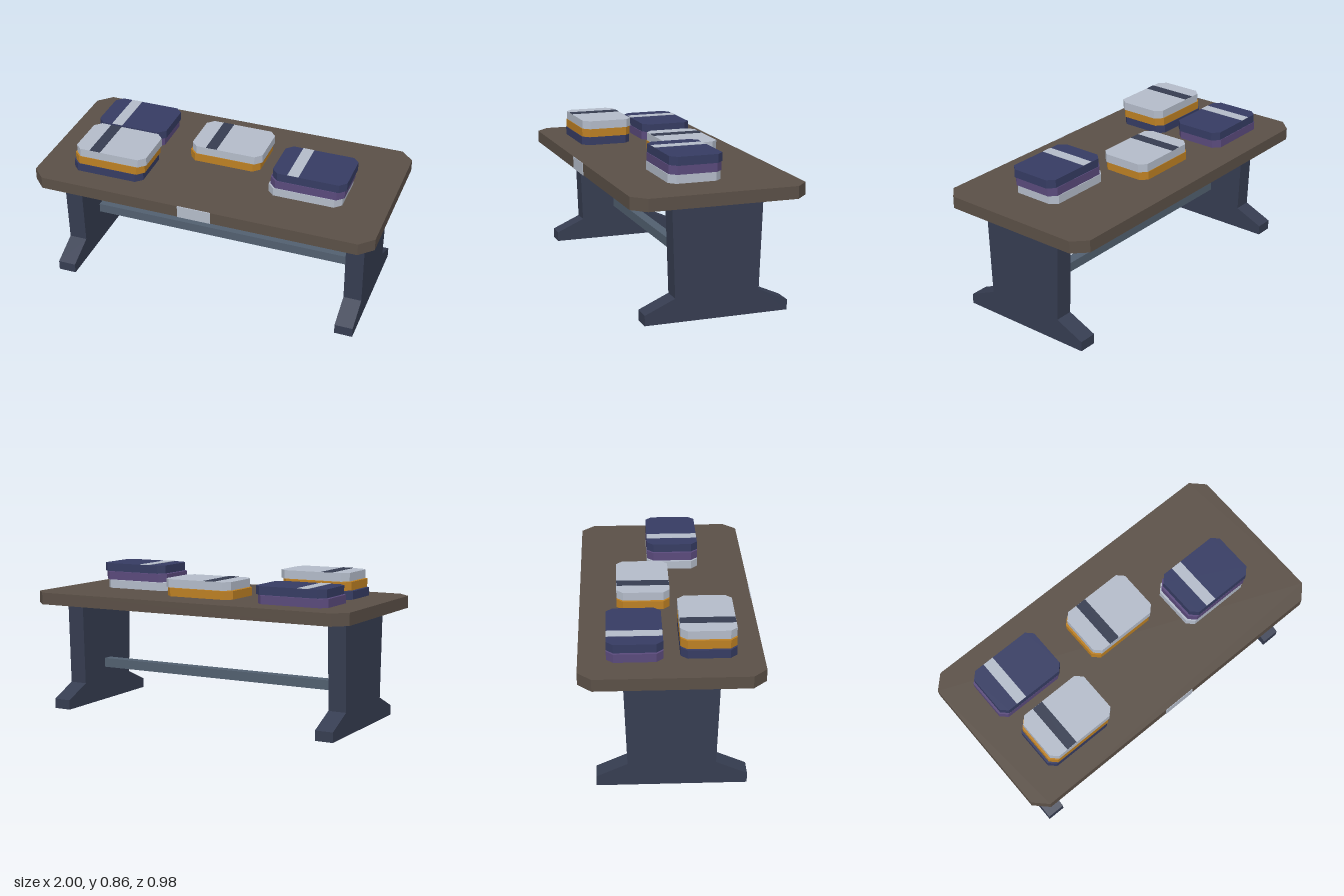
import * as THREE from 'three';

const mat = (name, color) => Object.assign(new THREE.MeshStandardMaterial({ color }), { name });

// Rectangle with cut corners, lying flat with its base at y = 0
function cutCornerSlab(width, depth, height, cut) {
  const x = width / 2, z = depth / 2;
  const shape = new THREE.Shape([
    [-x + cut, -z], [x - cut, -z], [x, -z + cut], [x, z - cut],
    [x - cut, z], [-x + cut, z], [-x, z - cut], [-x, -z + cut],
  ].map(([a, b]) => new THREE.Vector2(a, b)));
  return new THREE.ExtrudeGeometry(shape, { depth: height, bevelEnabled: false }).rotateX(-Math.PI / 2);
}

export function createModel() {
  const wood = mat('brown wood', 0x5b5047);
  const slate = mat('dark slate', 0x363d51);
  const steel = mat('steel blue', 0x526070);
  const pale = mat('pale grey', 0xb4bcca);
  const navy = mat('navy cloth', 0x363c63);
  const purple = mat('purple cloth', 0x5a4a7c);
  const amber = mat('amber cloth', 0xbd8023);

  const model = new THREE.Group();
  model.name = 'displayTable';
  const add = (name, geometry, material, x, y, z, parent = model) => {
    const mesh = new THREE.Mesh(geometry, material);
    mesh.name = name;
    mesh.position.set(x, y, z);
    parent.add(mesh);
    return mesh;
  };

  // Table top with a thin label plate on the front edge
  add('tableTop', cutCornerSlab(2, 0.98, 0.069, 0.075), wood, 0, 0.635, 0);
  add('frontPlate', new THREE.BoxGeometry(0.194, 0.069, 0.006), pale, -0.002, 0.6695, 0.49);

  // Slab legs with flared feet
  const half = [[0.405, 0], [0.405, 0.057], [0.237, 0.132], [0.255, 0.635]];
  const outline = [...half, ...half.map(([z, y]) => [-z, y]).reverse()];
  const legShape = new THREE.Shape(outline.map(([z, y]) => new THREE.Vector2(z, y)));
  const legGeometry = new THREE.ExtrudeGeometry(legShape, { depth: 0.105, bevelEnabled: false })
    .translate(0, 0, -0.0525).rotateY(Math.PI / 2);
  for (const side of [-1, 1]) {
    add(side > 0 ? 'leftLeg' : 'rightLeg', legGeometry, slate, side * 0.8575, 0, 0);
  }

  // Stretcher bar between the legs
  add('stretcher', new THREE.BoxGeometry(1.61, 0.055, 0.06), steel, 0, 0.229, 0);

  // Stacks of folded cloths, each layer shifted slightly, with a stripe on the top one
  const clothGeometry = cutCornerSlab(0.425, 0.3, 0.048, 0.037);
  const stripeGeometry = new THREE.BoxGeometry(0.064, 0.004, 0.298);
  const stacks = [
    { name: 'backRightStack', x: -0.616, z: -0.19, layers: [purple, navy], stripe: pale },
    { name: 'frontRightStack', x: -0.587, z: 0.2, layers: [navy, amber, pale], stripe: slate },
    { name: 'middleStack', x: -0.002, z: -0.13, layers: [amber, pale], stripe: slate },
    { name: 'leftStack', x: 0.535, z: 0.058, layers: [pale, purple, navy], stripe: pale },
  ];
  for (const { name, x, z, layers, stripe } of stacks) {
    const stack = new THREE.Group();
    stack.name = name;
    stack.position.set(x, 0.705, z);
    layers.forEach((material, i) => add('foldedCloth', clothGeometry, material, i * 0.011, i * 0.0505, 0, stack));
    const top = layers.length - 1;
    add('clothStripe', stripeGeometry, stripe, top * 0.011 - 0.086, top * 0.0505 + 0.048, 0, stack);
    model.add(stack);
  }
  return model;
}
